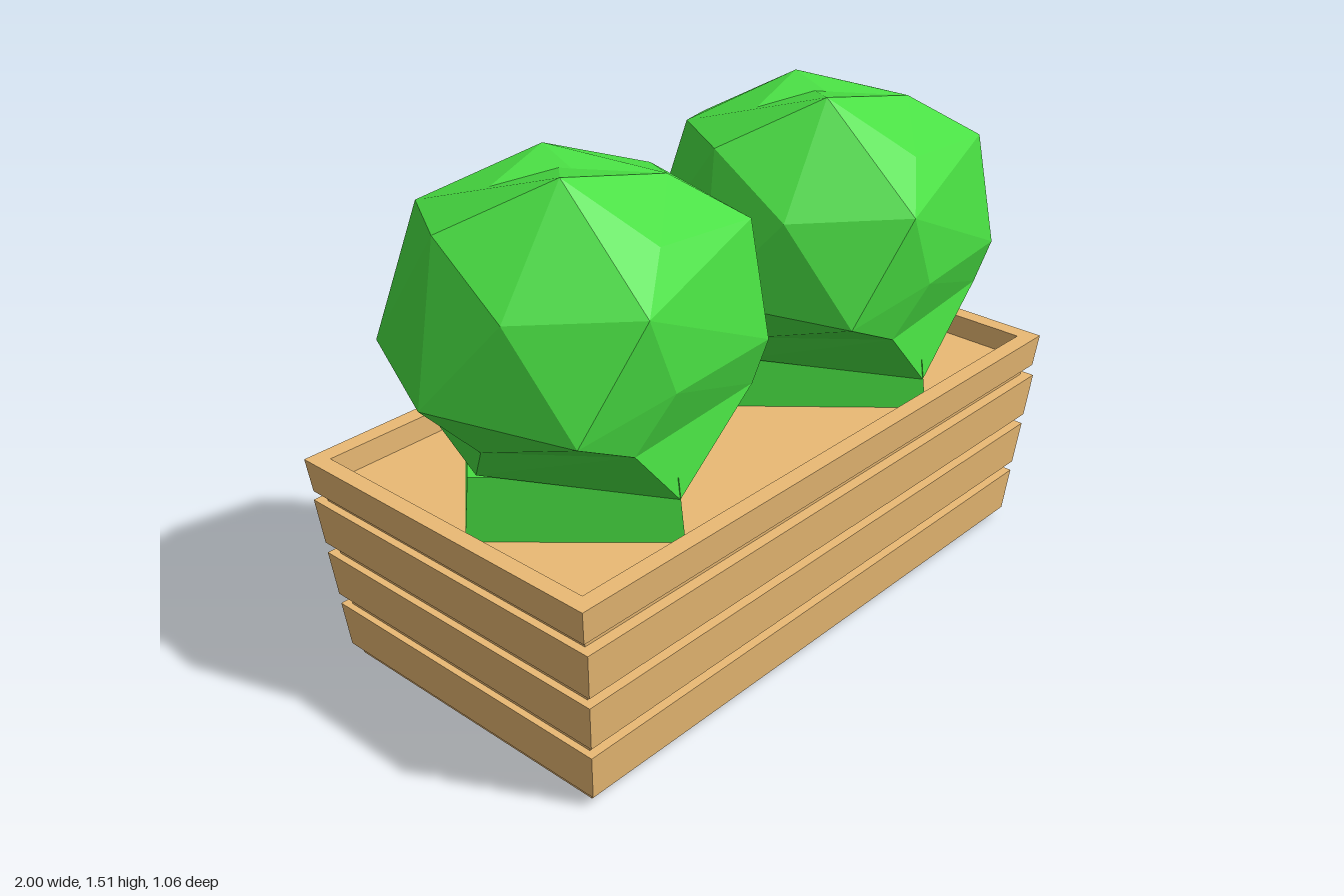
import * as THREE from 'three';
import { ConvexGeometry } from 'three/addons/geometries/ConvexGeometry.js';

const wood = new THREE.MeshStandardMaterial({ color: 0xeaba74, flatShading: true });
const leaf = new THREE.MeshStandardMaterial({ color: 0x48de42, flatShading: true });

function part(name, geometry, material) {
  const mesh = new THREE.Mesh(geometry, material);
  mesh.name = name;
  return mesh;
}

// Box from y0 to y1 whose half sizes change from [x, z] at the bottom to [x, z] at the top
function taperedBox(y0, y1, bottom, top) {
  const geo = new THREE.BoxGeometry(2, 2, 2);
  const p = geo.attributes.position;
  for (let i = 0; i < p.count; i++) {
    const up = p.getY(i) > 0;
    const [hx, hz] = up ? top : bottom;
    p.setXYZ(i, p.getX(i) * hx, up ? y1 : y0, p.getZ(i) * hz);
  }
  geo.computeVertexNormals();
  return geo;
}

const rect = (C, x, z) => new C([[-x, -z], [x, -z], [x, z], [-x, z]].map(([a, b]) => new THREE.Vector2(a, b)));

// Open top board: a frame with flared outer walls and straight inner walls
function rimGeometry(y0, y1, bottom, top, inner) {
  const shape = rect(THREE.Shape, ...top);
  shape.holes.push(rect(THREE.Path, ...inner));
  const geo = new THREE.ExtrudeGeometry(shape, { depth: y1 - y0, bevelEnabled: false });
  geo.rotateX(-Math.PI / 2).translate(0, y0, 0);
  const p = geo.attributes.position;
  for (let i = 0; i < p.count; i++) {
    if (p.getY(i) < y0 + 0.01 && Math.abs(p.getX(i)) > inner[0] + 0.01) {
      p.setX(i, Math.sign(p.getX(i)) * bottom[0]);
      p.setZ(i, Math.sign(p.getZ(i)) * bottom[1]);
    }
  }
  geo.computeVertexNormals();
  return geo;
}

function createPlanter() {
  const planter = new THREE.Group();
  planter.name = 'planter';
  planter.add(part('planterBody', taperedBox(0, 0.57, [0.912, 0.46], [0.957, 0.5]), wood));
  // Three closed boards, each a little wider than the one below
  for (let i = 0; i < 3; i++) {
    const y = 0.03 + i * 0.17, w = i * 0.015;
    planter.add(part('board', taperedBox(y, y + 0.138, [0.932 + w, 0.485 + w], [0.945 + w, 0.498 + w]), wood));
  }
  planter.add(part('topBoard', rimGeometry(0.54, 0.64, [0.978, 0.52], [0.989, 0.53], [0.94, 0.48]), wood));
  planter.position.x = 0.008;
  return planter;
}

const hull = (points) => new ConvexGeometry(points.map((p) => new THREE.Vector3(...p)));

// sideTip: the outermost point on the bush's +x side
function createBush(sideTip) {
  const bush = new THREE.Group();
  bush.name = 'bush';
  const underside = [[-0.02, 0.69, 0.42], [0.38, 0.76, -0.03], [0.31, 0.74, -0.33], [-0.02, 0.73, -0.4], [-0.36, 0.76, 0.04]];
  const lowerBelt = [
    [-0.18, 0.88, 0.42], [0.35, 0.85, 0.34], [0.43, 0.88, -0.02], [0.29, 0.87, -0.33],
    [-0.03, 0.9, -0.42], [-0.32, 0.88, -0.23], [-0.39, 0.86, 0.1],
  ];
  const upper = [
    // middle belt
    [-0.08, 1.03, 0.465], [0.36, 0.99, 0.385], sideTip, [0.32, 1.0, -0.355],
    [-0.04, 1.02, -0.445], [-0.36, 1.02, -0.32], [-0.5, 0.985, 0.01], [-0.365, 0.975, 0.415],
    // upper belt
    [-0.18, 1.26, 0.475], [0.36, 1.31, 0.32], [0.39, 1.36, -0.06], [0.27, 1.37, -0.29],
    [-0.04, 1.33, -0.38], [-0.24, 1.38, -0.27], [-0.365, 1.38, -0.06], [-0.4, 1.24, 0.21],
    // shoulder
    [-0.02, 1.36, 0.36], [0.21, 1.435, 0.17],
  ];
  // Crown: two overlapping lumps, one per peak, which leave a shallow dip between them
  for (const peak of [[-0.13, 1.51, 0.14], [0.04, 1.497, -0.1]]) {
    bush.add(part('crown', hull([...lowerBelt, ...upper, peak]), leaf));
  }
  bush.add(part('neck', hull([...underside, ...lowerBelt]), leaf));
  // Four-sided foot standing on the planter floor
  const foot = [[0.375, -0.03], [-0.02, 0.44], [-0.395, 0.02], [-0.02, -0.41]];
  bush.add(part('foot', hull(foot.flatMap(([x, z]) => [[x, 0.55, z], [x * 0.94, 0.75, z * 0.94]])), leaf));
  return bush;
}

export function createModel() {
  const model = new THREE.Group();
  model.name = 'planterWithBushes';
  model.add(createPlanter());

  const rightBush = createBush([0.535, 1.07, -0.07]);
  rightBush.position.set(-0.5, 0, -0.005);

  // The second bush is a little lower and deeper, tilts slightly and has a higher side tip
  const leftBush = createBush([0.49, 1.18, -0.06]);
  leftBush.position.set(0.515, -0.03, 0.02);
  leftBush.rotation.z = 0.02;
  leftBush.scale.z = 1.03;

  model.add(rightBush, leftBush);
  return model;
}
